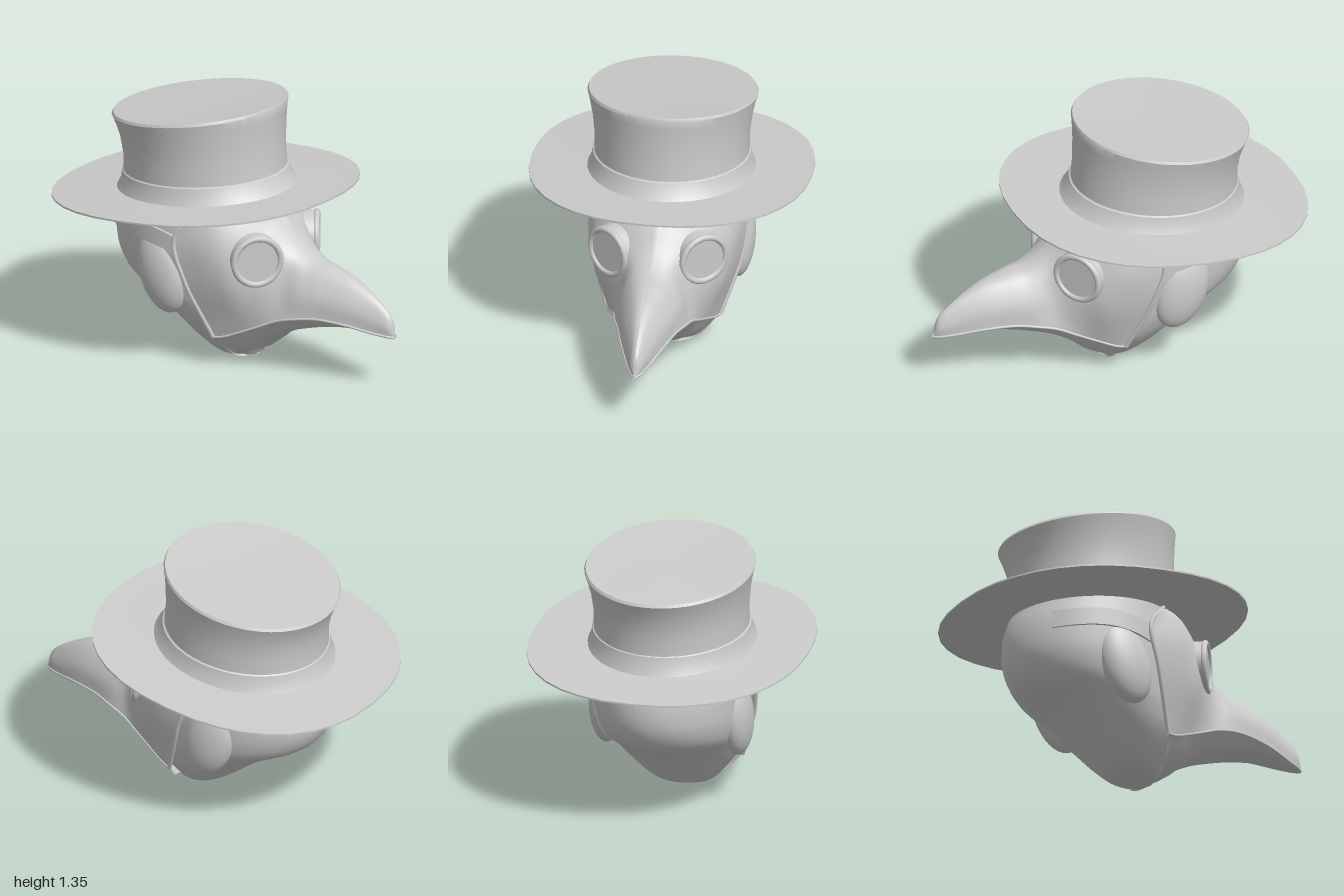
import * as THREE from 'three';
import { toCreasedNormals } from 'three/addons/utils/BufferGeometryUtils.js';

const material = new THREE.MeshStandardMaterial({ color: 0xcccccc, side: THREE.DoubleSide });
const V = (x, y, z) => new THREE.Vector3(x, y, z);
const flip = (p) => V(-p.x, p.y, p.z);
const smooth = (points, n) => new THREE.CatmullRomCurve3(points, false, 'centripetal').getPoints(n);

// Skin a grid of points, given as rows of equal length.
function skin(rows, crease) {
  const w = rows[0].length, index = [];
  for (let i = 0; i < rows.length - 1; i++) {
    for (let j = 0; j < w - 1; j++) {
      const a = i * w + j, b = a + 1, c = a + w, d = c + 1;
      index.push(a, b, c, b, d, c);
    }
  }
  const geometry = new THREE.BufferGeometry().setFromPoints(rows.flat());
  geometry.setIndex(index);
  return toCreasedNormals(geometry, crease);
}

// Smooth the columns of a grid so that the rows run on evenly.
function smoothColumns(rows, n) {
  const columns = rows[0].map((_, j) => smooth(rows.map((r) => r[j]), n));
  return columns[0].map((_, i) => columns.map((c) => c[i]));
}

// Tilted oval ring: half width, front z and y, back z and y, roundness power.
function ring([hw, zf, yf, zb, yb, power = 1], sides) {
  const bend = (v) => Math.sign(v) * Math.abs(v) ** power;
  return Array.from({ length: sides + 1 }, (_, i) => {
    const t = (i / sides) * Math.PI * 2;
    const c = bend(Math.cos(t)), s = bend(Math.sin(t));
    return V(hw * s, (yf + yb) / 2 + c * (yf - yb) / 2, (zf + zb) / 2 + c * (zf - zb) / 2);
  });
}

export function createModel() {
  const model = new THREE.Group();
  const add = (name, geometry, parent = model) => {
    const mesh = new THREE.Mesh(geometry, material);
    mesh.name = name;
    parent.add(mesh);
    return mesh;
  };

  // Hat: brim underside, brim top, hat band, flared crown
  const hat = new THREE.Group();
  hat.name = 'hat';
  model.add(hat);
  add('brim', skin([
    [0.36, 0.2, 0.862, -0.62, 0.785],
    [0.56, 0.4, 0.888, -0.82, 0.775, 0.93],
    [0.725, 0.56, 0.92, -1, 0.768, 0.88],
    [0.725, 0.56, 0.93, -1, 0.777, 0.88],
    [0.56, 0.4, 0.915, -0.83, 0.797, 0.93],
    [0.43, 0.27, 0.905, -0.69, 0.815],
  ].map((r) => ring(r, 36)), 0.6), hat);
  add('hatBand', skin([
    [0.43, 0.27, 0.905, -0.69, 0.815],
    [0.412, 0.24, 0.94, -0.668, 0.86],
    [0.405, 0.22, 0.985, -0.66, 0.91],
    [0.397, 0.21, 0.99, -0.655, 0.915],
  ].map((r) => ring(r, 48)), 0.6), hat);
  add('crown', skin([
    [0.397, 0.21, 0.985, -0.655, 0.91],
    [0.396, 0.2, 1.08, -0.655, 1],
    [0.408, 0.198, 1.2, -0.672, 1.09],
    [0.425, 0.2, 1.29, -0.7, 1.165],
    [0.437, 0.204, 1.34, -0.718, 1.2],
    [0.43, 0.197, 1.353, -0.71, 1.215],
    [0.2, 0, 1.312, -0.48, 1.25],
    [0, -0.25, 1.28, -0.25, 1.28],
  ].map((r) => ring(r, 48)), 0.6), hat);

  // Hooded head: half width, front z, back z at each height
  const headRings = [
    [0, 0, 0.06, 0.06], [0.005, 0.09, 0.12, 0], [0.03, 0.15, 0.14, -0.1],
    [0.1, 0.22, 0.19, -0.2], [0.2, 0.295, 0.27, -0.32], [0.3, 0.34, 0.3, -0.46],
    [0.4, 0.37, 0.3, -0.63], [0.5, 0.388, 0.3, -0.695], [0.6, 0.395, 0.3, -0.712],
    [0.7, 0.395, 0.26, -0.702], [0.8, 0.387, 0.22, -0.67], [0.88, 0.38, 0.2, -0.65],
  ].map(([y, hw, zf, zb]) => ring([hw, zf, y, zb, y], 48));
  add('hood', skin(smoothColumns(headRings, 44), 1.2));

  // Mask sections from beak tip back to the cheeks:
  // z, ridge y, then x,y of brow, upper side, lower side and lip, then underside y
  const sections = [
    [1, 0.3, 0.002, 0.3, 0.004, 0.295, 0.006, 0.29, 0.004, 0.28, 0.278],
    [0.975, 0.385, 0.01, 0.378, 0.02, 0.36, 0.028, 0.33, 0.024, 0.285, 0.277],
    [0.9, 0.455, 0.018, 0.445, 0.035, 0.42, 0.055, 0.36, 0.055, 0.297, 0.28],
    [0.75, 0.54, 0.03, 0.53, 0.06, 0.5, 0.1, 0.42, 0.108, 0.325, 0.288],
    [0.6, 0.583, 0.045, 0.572, 0.085, 0.54, 0.14, 0.44, 0.15, 0.333, 0.262],
    [0.5, 0.605, 0.05, 0.595, 0.1, 0.56, 0.16, 0.45, 0.18, 0.32, 0.235],
    [0.4, 0.67, 0.06, 0.655, 0.12, 0.61, 0.17, 0.47, 0.2, 0.295, 0.2],
    [0.3, 0.79, 0.1, 0.755, 0.21, 0.66, 0.25, 0.47, 0.225, 0.25, 0.145],
    [0.2, 0.885, 0.2, 0.83, 0.31, 0.68, 0.335, 0.47, 0.25, 0.205, 0.062],
    [0.1, 0.9, 0.29, 0.84, 0.37, 0.69, 0.365, 0.47, 0.28, 0.165, 0.012],
  ];
  const upper = sections.map(([z, top, fx, fy, ax, ay, bx, by, lx, ly]) =>
    [V(0, top, z), V(fx, fy, z), V(ax, ay, z), V(bx, by, z), V(lx, ly, z)]);
  const lower = sections.map((s) => {
    const [z, lx, ly, bottom] = [s[0], s[8], s[9], s[10]];
    return [V(lx, ly, z), V(lx * 0.58, bottom + (ly - bottom) * 0.2, z), V(0, bottom, z)];
  });
  // Slanted rear edge of the mask
  const edge = [V(0, 0.92, 0.02), V(0.34, 0.84, 0), V(0.405, 0.69, -0.11), V(0.395, 0.48, -0.06), V(0.295, 0.16, 0.055)];
  const chinEdge = [V(0.295, 0.16, 0.055), V(0.16, 0.03, 0.1), V(0, 0, 0.12)];
  upper.push(edge);
  lower.push(chinEdge);

  const mirrorRow = (half) => [...half.slice(1).reverse().map(flip), ...half];
  const upperRows = smoothColumns(upper.map((r) => mirrorRow(smooth(r, 20))), 60);
  const lowerRows = smoothColumns(lower.map((r) => mirrorRow(smooth(r, 10).reverse())), 60);
  add('beakMask', skin(upperRows, 0.6));
  add('beakUnderside', skin(lowerRows, 0.6));

  // Parts found on both sides
  for (const side of [1, -1]) {
    const half = new THREE.Group();
    half.name = side > 0 ? 'leftSide' : 'rightSide';
    model.add(half);
    const at = (p) => V(p.x * side, p.y, p.z);
    const tube = (name, points, r) =>
      add(name, new THREE.TubeGeometry(new THREE.CatmullRomCurve3(points.map(at)), 48, r, 8), half);

    // Rolled seams along the rear edge and the lip
    tube('maskEdge', edge.slice(1), 0.012);
    tube('lipSeam', upper.map((r) => r[4]), 0.007);

    // Goggle: rim, housing and lens
    const goggle = new THREE.Group();
    goggle.name = 'goggle';
    goggle.position.set(0.248 * side, 0.61, 0.305);
    goggle.rotation.y = 0.64 * side;
    half.add(goggle);
    add('goggleRim', new THREE.TorusGeometry(0.123, 0.017, 10, 40), goggle);
    const housing = add('goggleHousing', new THREE.CylinderGeometry(0.132, 0.136, 0.07, 40, 1, true), goggle);
    housing.rotation.x = Math.PI / 2;
    housing.position.z = -0.035;
    add('lens', new THREE.CircleGeometry(0.122, 40), goggle).position.z = 0.004;

    // Ear shape beneath the hood
    const ear = add('earBulge', new THREE.SphereGeometry(1, 32, 24), half);
    ear.scale.set(0.082, 0.22, 0.14);
    ear.position.set(0.348 * side, 0.47, -0.23);
    ear.rotation.x = -0.3;

    // Strap wrapping the temple
    const path = smooth([V(0, 0.645, -0.1), V(0, 0.67, -0.2), V(0, 0.685, -0.35), V(0, 0.667, -0.6)], 20);
    const strapRows = path.map(({ y, z }) => {
      const x = 0.395 * Math.sqrt(1 - ((z + 0.22) / 0.482) ** 2);
      return [[0, -0.046], [0.014, -0.046], [0.014, 0.046], [0, 0.046]]
        .map(([out, up]) => V(side * (x + out), y + up, z - out * Math.max(0, -z - 0.3)));
    });
    add('strap', skin(side > 0 ? strapRows : strapRows.map((r) => [...r].reverse()), 0.6), half);
  }
  return model;
}
